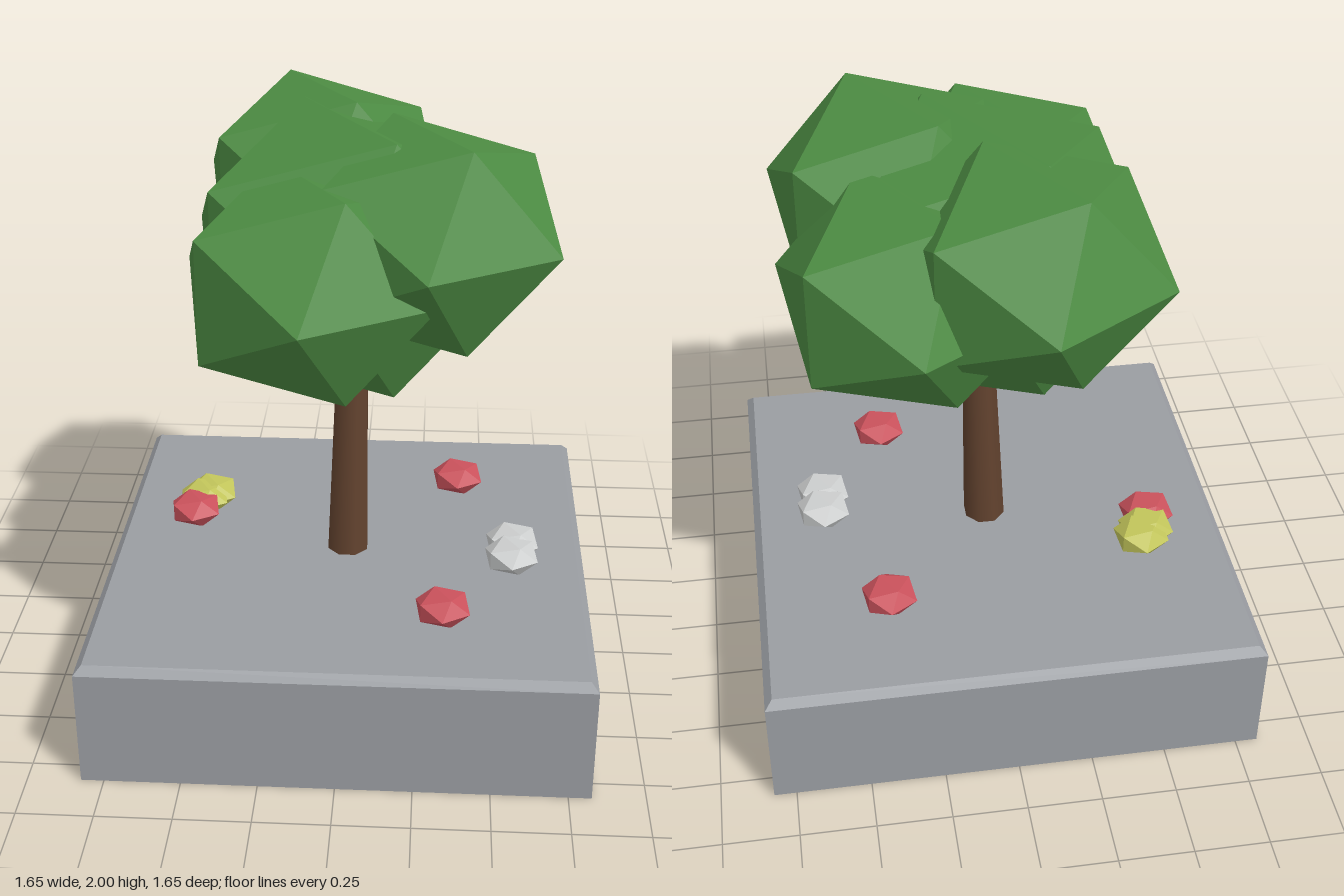
import * as THREE from 'three';

const mat = (name, color) => {
  const m = new THREE.MeshStandardMaterial({ color });
  m.name = name;
  return m;
};

export function createModel() {
  const model = new THREE.Group();
  model.name = 'treeOnPlinth';

  const stone = mat('stoneGrey', 0x9a9da2);
  const bark = mat('barkBrown', 0x63432f);
  const leaf = mat('leafGreen', 0x4d8c43);
  const red = mat('flowerRed', 0xcb525c);
  const yellow = mat('flowerYellow', 0xc3c65b);
  const white = mat('flowerWhite', 0xcdcfcf);

  const add = (name, geometry, material, parent = model) => {
    const mesh = new THREE.Mesh(geometry, material);
    mesh.name = name;
    parent.add(mesh);
    return mesh;
  };

  // Faceted blob: icosahedron with its poles along z, squashed in height
  const blob = (name, material, radius, squash, [x, y, z], parent) => {
    const geometry = new THREE.IcosahedronGeometry(radius, 0);
    geometry.rotateX(Math.atan(2 / (1 + Math.sqrt(5))));
    geometry.rotateZ(Math.PI / 2);
    geometry.scale(1, squash, 1);
    geometry.computeVertexNormals();
    add(name, geometry, material, parent).position.set(x, y, z);
  };

  // Square plinth with a chamfered top edge
  const d = Math.SQRT2;
  const profile = [[0, 0], [0.825 * d, 0], [0.825 * d, 0.405], [0.8 * d, 0.432], [0, 0.432]]
    .map(([x, y]) => new THREE.Vector2(x, y));
  const plinth = new THREE.LatheGeometry(profile, 4, Math.PI / 4).toNonIndexed();
  plinth.computeVertexNormals();
  add('plinth', plinth, stone);

  // Tapered trunk, leaning slightly
  const height = 0.95;
  const trunk = new THREE.CylinderGeometry(0.05, 0.074, height, 8);
  trunk.rotateY(Math.PI / 8);
  trunk.translate(0, height / 2, 0);
  const p = trunk.attributes.position;
  for (let i = 0; i < p.count; i++) {
    const t = p.getY(i) / height;
    p.setX(i, p.getX(i) + 0.02 * t);
    p.setZ(i, p.getZ(i) * 1.06 + 0.036 * t);
  }
  trunk.computeBoundingSphere();
  add('trunk', trunk, bark).position.set(-0.002, 0.43, 0.012);

  // Canopy: one large blob in the middle and four around it
  const canopy = new THREE.Group();
  canopy.name = 'canopy';
  model.add(canopy);
  blob('middleFoliage', leaf, 0.58, 0.855, [0, 1.556, 0], canopy);
  [
    [-0.105, 1.55, 0.316],
    [-0.105, 1.673, -0.32],
    [0.265, 1.673, 0.196],
    [0.265, 1.55, -0.2],
  ].forEach((at, i) => blob('outerFoliage' + (i + 1), leaf, 0.45, 0.855, at, canopy));

  // Small flowers lying on the plinth
  const flowers = new THREE.Group();
  flowers.name = 'flowers';
  model.add(flowers);
  [
    ['redFlower', red, -0.565, -0.135],
    ['redFlower', red, 0.335, 0.475],
    ['redFlower', red, 0.385, -0.43],
    ['yellowFlower', yellow, -0.52, -0.26],
    ['yellowFlower', yellow, -0.545, -0.22],
    ['whiteFlower', white, 0.57, 0.135],
    ['whiteFlower', white, 0.575, 0.04],
  ].forEach(([name, material, x, z]) => blob(name, material, 0.1, 0.6, [x, 0.48, z], flowers));

  return model;
}
